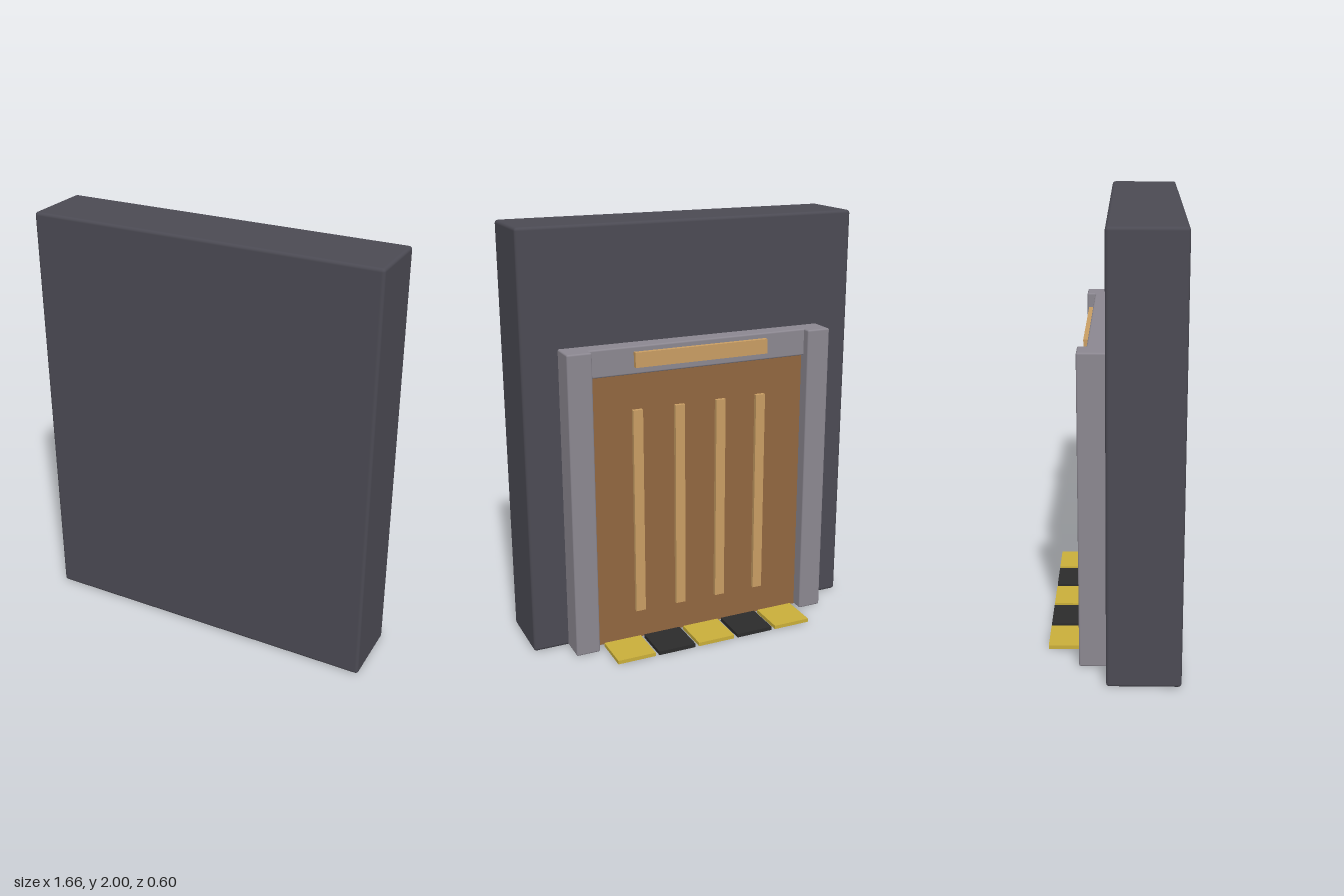
import * as THREE from 'three';
import { RoundedBoxGeometry } from 'three/addons/geometries/RoundedBoxGeometry.js';

const material = (name, color) => {
  const m = new THREE.MeshStandardMaterial({ color });
  m.name = name;
  return m;
};

export function createModel() {
  const model = new THREE.Group();
  model.name = 'wallWithDoor';

  const stone = material('darkStone', 0x4b4a53);
  const trim = material('greyTrim', 0x8b8790);
  const wood = material('brownWood', 0x91663f);
  const paleWood = material('paleWood', 0xc89d63);
  const yellow = material('yellowTile', 0xc9ae3a);
  const black = material('blackTile', 0x2b2b2b);

  // Box given by its extents on each axis, with optional rounded edges
  const box = (name, mat, [x0, x1], [y0, y1], [z0, z1], radius = 0) => {
    const size = [x1 - x0, y1 - y0, z1 - z0];
    const geometry = radius
      ? new RoundedBoxGeometry(...size, 2, radius)
      : new THREE.BoxGeometry(...size);
    const mesh = new THREE.Mesh(geometry, mat);
    mesh.name = name;
    mesh.position.set((x0 + x1) / 2, (y0 + y1) / 2, (z0 + z1) / 2);
    model.add(mesh);
  };

  // Wall slab
  box('wall', stone, [-0.83, 0.83], [0, 2], [-0.03, 0.3], 0.015);

  // Door frame
  box('rightJamb', trim, [-0.66, -0.543], [0, 1.46], [-0.155, -0.02], 0.008);
  box('leftJamb', trim, [0.543, 0.66], [0, 1.46], [-0.155, -0.02], 0.008);
  box('lintel', trim, [-0.56, 0.56], [1.33, 1.46], [-0.115, -0.02], 0.008);
  box('signPlate', paleWood, [-0.333, 0.333], [1.365, 1.435], [-0.138, -0.11]);

  // Door with four vertical battens
  box('door', wood, [-0.55, 0.55], [0, 1.34], [-0.095, -0.025]);
  for (let i = 0; i < 4; i++) {
    const x = (i - 1.5) * 0.21;
    box('batten', paleWood, [x - 0.024, x + 0.024], [0.15, 1.16], [-0.114, -0.09]);
  }

  // Row of alternating threshold tiles
  for (let i = 0; i < 5; i++) {
    const x = (i - 2) * 0.207;
    box('thresholdTile', i % 2 ? black : yellow, [x - 0.094, x + 0.094], [0, 0.018], [-0.303, -0.115]);
  }

  return model;
}
